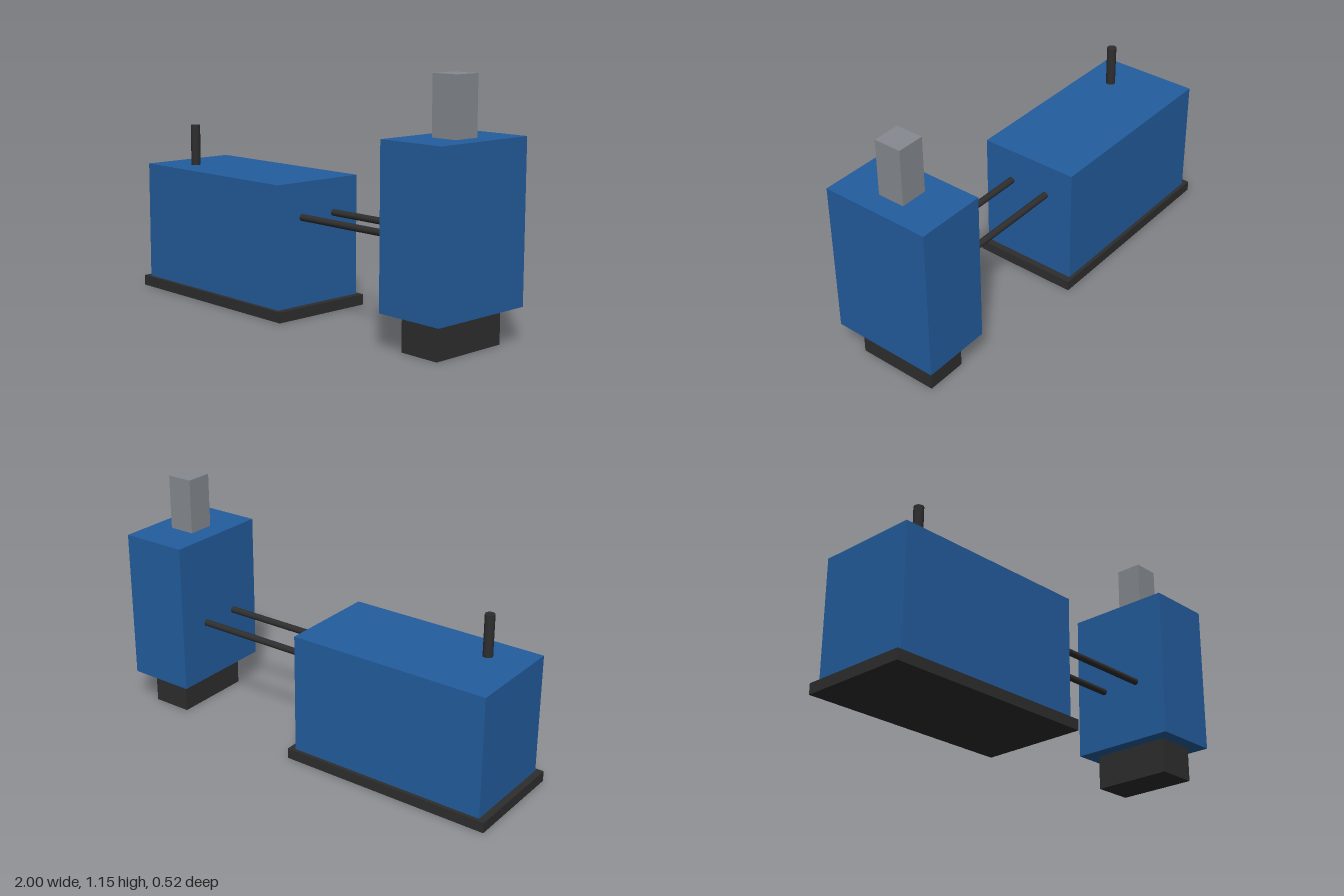
import * as THREE from 'three';

export function createModel() {
  const model = new THREE.Group();
  const blue = new THREE.MeshStandardMaterial({ color: 0x235d9e });
  const black = new THREE.MeshStandardMaterial({ color: 0x2e2e2e });
  const grey = new THREE.MeshStandardMaterial({ color: 0x868a90 });
  blue.name = 'paintedBlue';
  black.name = 'darkRubber';
  grey.name = 'steelGrey';

  const add = (name, geometry, material, x, y, z) => {
    const mesh = new THREE.Mesh(geometry, material);
    mesh.name = name;
    mesh.position.set(x, y, z);
    model.add(mesh);
    return mesh;
  };
  // Box given by its extents in x and y, centred on z = 0
  const box = (name, material, x0, x1, y0, y1, depth) =>
    add(name, new THREE.BoxGeometry(x1 - x0, y1 - y0, depth), material, (x0 + x1) / 2, (y0 + y1) / 2, 0);

  // Large housing on its base plate
  box('basePlate', black, -1, 0.045, 0, 0.05, 0.525);
  box('mainHousing', blue, -0.967, 0.013, 0.05, 0.622, 0.49);

  // Upright unit with its foot and top post
  box('foot', black, 0.737, 0.933, 0, 0.165, 0.393);
  box('uprightHousing', blue, 0.67, 1, 0.165, 0.887, 0.525);
  box('topPost', grey, 0.77, 0.9, 0.887, 1.15, 0.131);

  // Short pipe on the large housing
  add('topPipe', new THREE.CylinderGeometry(0.023, 0.023, 0.2, 16), black, -0.775, 0.72, 0.098);

  // Pair of rods joining the two housings
  for (const side of [-1, 1]) {
    const rod = add('connectingRod', new THREE.CylinderGeometry(0.016, 0.016, 0.657, 16), black, 0.3415, 0.46, side * 0.098);
    rod.rotation.z = Math.PI / 2;
  }
  return model;
}
